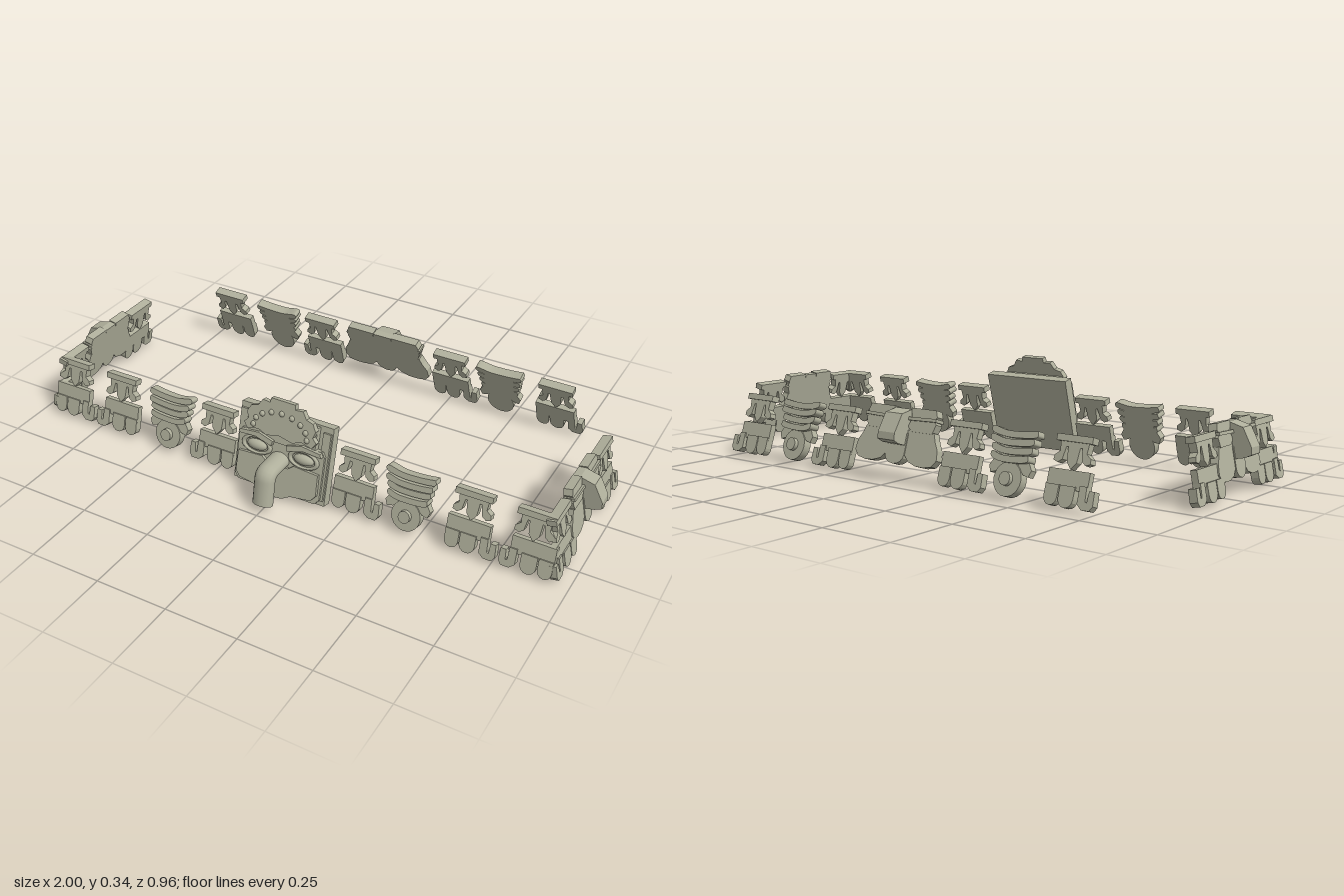
import * as THREE from 'three';

const stone = new THREE.MeshStandardMaterial({ color: 0xb0b09c });
stone.name = 'stone';

function add(group, geometry, name, x = 0, y = 0, z = 0) {
  const mesh = new THREE.Mesh(geometry, stone);
  mesh.name = name;
  mesh.position.set(x, y, z);
  group.add(mesh);
  return mesh;
}

// Flat carved plate from an outline; s = -1 mirrors the outline
function plate(group, name, pts, z0, z1, x = 0, s = 1, smooth = false) {
  const v = pts.map(([px, py]) => new THREE.Vector2(s * px, py));
  const shape = new THREE.Shape();
  if (smooth) {
    shape.moveTo(v[0].x, v[0].y);
    shape.splineThru([...v.slice(1), v[0]]);
  } else shape.setFromPoints(v);
  const geo = new THREE.ExtrudeGeometry(shape, { depth: z1 - z0, bevelEnabled: false, curveSegments: 16 });
  return add(group, geo, name, x, 0, z0);
}

// Completes a right half outline with its mirrored left half
const sym = (half) => [...half, ...half.slice().reverse().filter((p) => p[0] !== 0).map(([x, y]) => [-x, y])];

function box(group, name, x0, x1, y0, y1, z0, z1) {
  return add(group, new THREE.BoxGeometry(x1 - x0, y1 - y0, z1 - z0), name,
    (x0 + x1) / 2, (y0 + y1) / 2, (z0 + z1) / 2);
}

// Hanging tongue with a round lower end
function tongue(group, name, x, halfWidth, top, bottom, depth) {
  const pts = [[x + halfWidth, top]];
  for (let i = 0; i <= 8; i++) {
    const a = -i * Math.PI / 8;
    pts.push([x + halfWidth * Math.cos(a), bottom + halfWidth + halfWidth * Math.sin(a)]);
  }
  pts.push([x - halfWidth, top]);
  plate(group, name, pts, 0, depth);
}

// Upper bracket: bar, flared feet and a pointed middle tooth
function bracket(panel, x) {
  const g = new THREE.Group();
  g.name = 'upperBracket';
  g.position.x = x;
  panel.add(g);
  plate(g, 'bracketBody', sym([[0, 0.21], [0.05, 0.21], [0.046, 0.172], [0.062, 0.16], [0.064, 0.146],
    [0.048, 0.14], [0.034, 0.15], [0.027, 0.186], [0.021, 0.186], [0.017, 0.145], [0, 0.125]]), 0, 0.026);
  box(g, 'bracketBar', -0.062, 0.062, 0.2, 0.219, 0, 0.032);
}

// Lower fret: bar, two tongues and a hook on the side given by s
function fret(panel, x, s) {
  const g = new THREE.Group();
  g.name = 'lowerFret';
  g.position.x = x;
  panel.add(g);
  const a = s > 0 ? -0.08 : -0.062, b = s > 0 ? 0.062 : 0.08;
  box(g, 'fretBar', a, b, 0.07, 0.124, 0, 0.022);
  tongue(g, 'fretTongue', -s * 0.056, 0.023, 0.08, 0.021, 0.027);
  tongue(g, 'fretTongue', -s * 0.003, 0.026, 0.08, 0.019, 0.027);
  plate(g, 'fretHook', [[0.038, 0.085], [0.062, 0.085], [0.064, 0.045], [0.07, 0.042], [0.072, 0.075], [0.09, 0.075],
    [0.092, 0.035], [0.082, 0.021], [0.055, 0.021], [0.038, 0.035]], 0, 0.027, 0, s);
}

// Ear ornament: stacked curved bands over a round stud with side curls
function ear(panel, x, s) {
  const g = new THREE.Group();
  g.name = 'earOrnament';
  g.position.x = x;
  panel.add(g);
  for (let i = 0; i < 4; i++) {
    const y = 0.206 - i * 0.024, w = 0.081 - i * 0.005;
    plate(g, 'earBand', [[w, y + 0.01], [0.03, y + 0.004], [-0.03, y + 0.003], [-w, y + 0.012],
      [-w, y - 0.006], [-0.03, y - 0.016], [0.03, y - 0.015], [w, y - 0.008]], 0, 0.034 + (i % 2) * 0.006, 0, s, true);
  }
  box(g, 'earBacking', -0.055, 0.055, 0.1, 0.205, 0, 0.022);
  const disc = (r, d, name) => {
    add(g, new THREE.CylinderGeometry(r, r, d, 24), name, 0, 0.072, d / 2).rotation.x = Math.PI / 2;
  };
  disc(0.05, 0.03, 'earDisc');
  disc(0.02, 0.045, 'earStud');
  for (const k of [-1, 1]) plate(g, 'earCurl', [[0.02, 0.13], [0.062, 0.13], [0.078, 0.105], [0.07, 0.085],
    [0.05, 0.09], [0.03, 0.11]], 0, 0.026, 0, k);
}

// Small mask: eye blocks, rounded cheeks and a jutting snout
function smallMask(panel, x, wide) {
  const g = new THREE.Group();
  g.name = 'smallMask';
  g.position.x = x;
  g.scale.x = wide;
  panel.add(g);
  box(g, 'maskBacking', -0.1, 0.1, 0.09, 0.225, 0, 0.016);
  for (const s of [-1, 1]) {
    plate(g, 'eyeBlock', [[0.027, 0.238], [0.105, 0.238], [0.112, 0.218], [0.106, 0.207], [0.113, 0.195],
      [0.105, 0.166], [0.04, 0.166], [0.026, 0.18], [0.034, 0.205]], 0, 0.03, 0, s);
    plate(g, 'browRidge', [[0.028, 0.209], [0.115, 0.212], [0.115, 0.202], [0.028, 0.199]], 0, 0.038, 0, s);
    plate(g, 'cheek', [[0.026, 0.17], [0.11, 0.17], [0.118, 0.145], [0.13, 0.12], [0.133, 0.09], [0.12, 0.07],
      [0.095, 0.064], [0.07, 0.065], [0.045, 0.075], [0.026, 0.1]], 0, 0.027, 0, s);
  }
  tongue(g, 'maskTongue', 0, 0.031, 0.16, 0.063, 0.03);
  // Snout side profile, given as outward distance and height
  const side = [[0, 0.236], [0.025, 0.234], [0.07, 0.212], [0.088, 0.15], [0.084, 0.128], [0.06, 0.122], [0, 0.122]];
  const geo = new THREE.ExtrudeGeometry(new THREE.Shape(side.map((p) => new THREE.Vector2(...p))),
    { depth: 0.054, bevelEnabled: false });
  geo.rotateY(-Math.PI / 2);
  add(g, geo, 'snout', 0.027);
}

// Large centre mask on a slab
function largeMask(panel) {
  const g = new THREE.Group();
  g.name = 'largeMask';
  panel.add(g);
  box(g, 'backSlab', -0.172, 0.172, 0.012, 0.274, 0, 0.036);
  box(g, 'forehead', -0.125, 0.125, 0.18, 0.268, 0.03, 0.058);
  plate(g, 'faceBlock', sym([[0, 0.195], [0.15, 0.195], [0.16, 0.18], [0.16, 0.035], [0.145, 0.018], [0, 0.018]]), 0.03, 0.054);
  plate(g, 'jaw', sym([[0, 0.11], [0.04, 0.11], [0.06, 0.125], [0.15, 0.12], [0.152, 0.05], [0.135, 0.03],
    [0.06, 0.02], [0.03, 0.004], [0, 0.001]]), 0.04, 0.066);
  plate(g, 'crown', sym([[0, 0.328], [0.045, 0.328], [0.047, 0.312], [0.075, 0.315], [0.09, 0.292], [0.115, 0.285],
    [0.128, 0.262], [0.12, 0.24], [0.135, 0.225], [0.12, 0.205], [0.08, 0.215], [0.05, 0.202], [0, 0.212]]), 0.056, 0.076);
  // Beads along the crown
  for (let i = 0; i < 9; i++) {
    const a = Math.PI * i / 8;
    add(g, new THREE.SphereGeometry(0.01, 10, 8), 'crownBead', 0.1 * Math.cos(a), 0.226 + 0.06 * Math.sin(a), 0.074);
  }
  for (const s of [-1, 1]) {
    const eye = add(g, new THREE.SphereGeometry(1, 20, 12), 'eye', s * 0.088, 0.152, 0.052);
    eye.scale.set(0.038, 0.018, 0.018);
    const rim = add(g, new THREE.TorusGeometry(0.05, 0.008, 8, 28), 'eyeRim', s * 0.088, 0.152, 0.056);
    rim.scale.y = 0.52;
    plate(g, 'brow', [[0.025, 0.185], [0.08, 0.2], [0.15, 0.193], [0.155, 0.18], [0.09, 0.184], [0.03, 0.168]], 0.05, 0.07, 0, s);
    box(g, 'sideFlange', s > 0 ? 0.14 : -0.168, s > 0 ? 0.168 : -0.14, 0.03, 0.255, 0.03, 0.045);
  }
}

// Hooked nose of the large mask, running forward then down
function hookNose(root) {
  const path = new THREE.CurvePath();
  const p = (y, z) => new THREE.Vector3(0, y, z);
  path.add(new THREE.LineCurve3(p(0.14, 0.34), p(0.14, 0.415)));
  path.add(new THREE.QuadraticBezierCurve3(p(0.14, 0.415), p(0.14, 0.44), p(0.115, 0.444)));
  path.add(new THREE.LineCurve3(p(0.115, 0.444), p(0.035, 0.461)));
  const g = new THREE.Group();
  g.name = 'hookNose';
  g.scale.x = 1.4;
  root.add(g);
  add(g, new THREE.TubeGeometry(path, 28, 0.026, 14, false), 'noseTube');
  const cap = add(g, new THREE.CircleGeometry(0.026, 14), 'noseTip', 0, 0.035, 0.461);
  cap.lookAt(0, 0.035 - 0.08, 0.461 + 0.017);
}

// Wall face leaning inward, turned to its side of the ring
function wall(root, name, turn, lean, base) {
  const outer = new THREE.Group(), inner = new THREE.Group();
  outer.name = name;
  outer.rotation.y = turn;
  inner.name = name + 'Relief';
  inner.position.z = base;
  inner.rotation.x = -lean;
  inner.scale.y = 1 / Math.cos(lean);
  outer.add(inner);
  root.add(outer);
  return inner;
}

export function createModel() {
  const root = new THREE.Group();
  root.name = 'maskFrieze';

  const front = wall(root, 'frontWall', 0, 0.262, 0.334);
  const back = wall(root, 'backWall', Math.PI, 0.315, 0.438);
  for (const face of [front, back]) {
    for (const s of [-1, 1]) {
      for (const x of [0.265, 0.665]) {
        bracket(face, s * x);
        fret(face, s * (x + 0.005), s);
      }
      ear(face, s * 0.455, s);
    }
  }
  largeMask(front);
  hookNose(root);
  smallMask(back, 0, 1.3);
  // Corner pieces at the ends of the front
  for (const s of [-1, 1]) {
    bracket(front, s * 0.868);
    fret(front, s * 0.865, -s);
  }
  // Side walls
  for (const s of [-1, 1]) {
    const face = wall(root, s > 0 ? 'leftWall' : 'rightWall', s * Math.PI / 2, 0.2, 0.943);
    const mid = -s * 0.065;
    smallMask(face, mid, 1);
    for (const k of [-1, 1]) {
      bracket(face, mid + k * 0.189);
      fret(face, mid + k * 0.187, k);
    }
  }
  return root;
}
